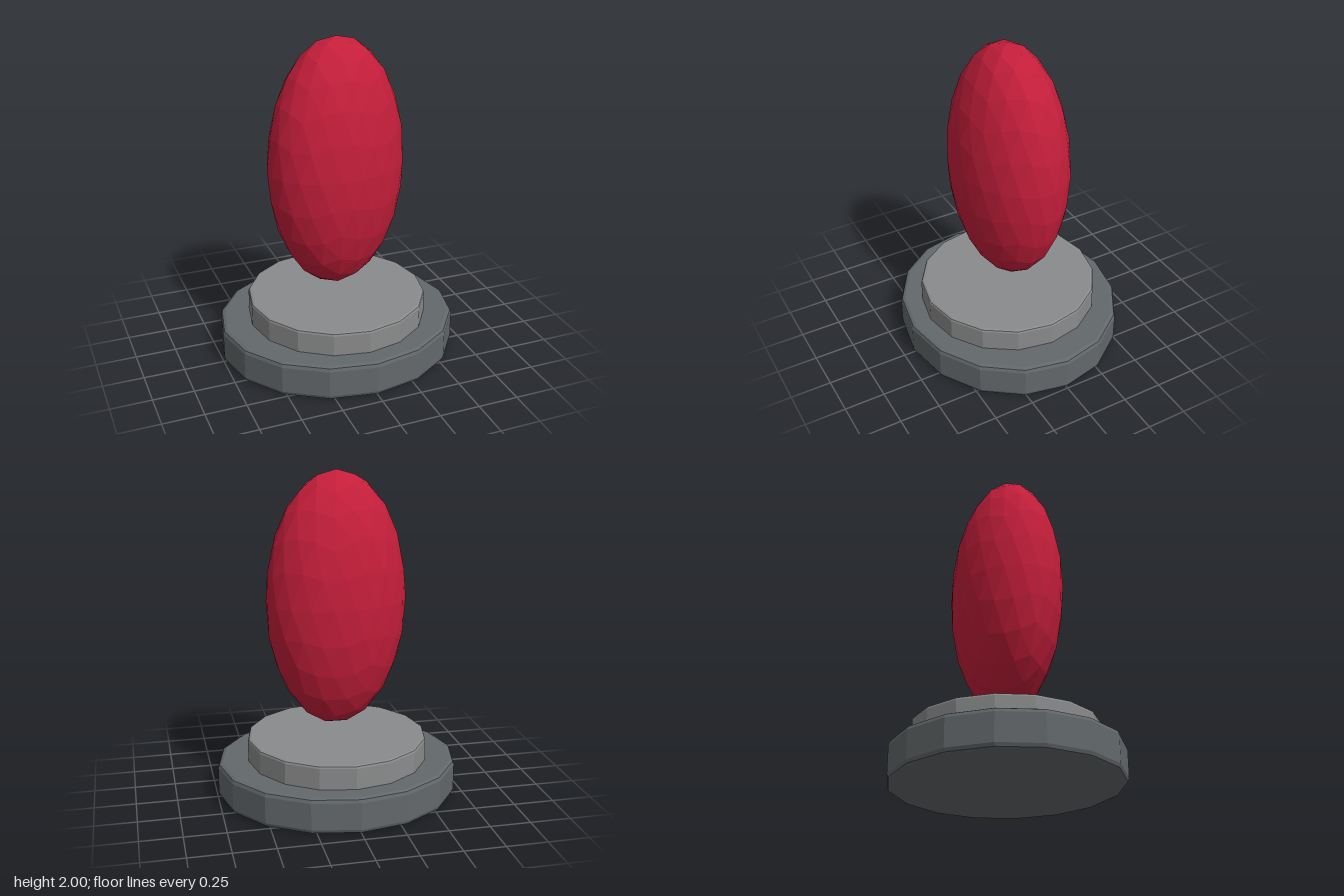
import * as THREE from 'three';

const flat = (color) => new THREE.MeshStandardMaterial({ color, flatShading: true });

// Sixteen-sided disc with softly bevelled rims, squashed to rx by rz
function disc(name, rx, rz, y0, y1, bevel, color) {
  const k = bevel * 0.29;
  const profile = [
    [0, y0], [rx - bevel, y0], [rx - k, y0 + k], [rx, y0 + bevel],
    [rx, y1 - bevel], [rx - k, y1 - k], [rx - bevel, y1], [0, y1],
  ].map(([r, y]) => new THREE.Vector2(r, y));
  const geometry = new THREE.LatheGeometry(profile, 16);
  geometry.scale(1, 1, rz / rx);
  const mesh = new THREE.Mesh(geometry, flat(color));
  mesh.name = name;
  return mesh;
}

// Faceted sphere with a corner at each pole, split by repeated halving of edges
function poleIcosphere(levels) {
  const ring = (y, start) => Array.from({ length: 5 }, (_, i) => {
    const a = start + (i * Math.PI * 2) / 5;
    const r = Math.sqrt(0.8);
    return new THREE.Vector3(Math.cos(a) * r, y, -Math.sin(a) * r);
  });
  const top = new THREE.Vector3(0, 1, 0);
  const bottom = new THREE.Vector3(0, -1, 0);
  const upper = ring(Math.sqrt(0.2), 0);
  const lower = ring(-Math.sqrt(0.2), Math.PI / 5);
  const positions = [];

  const split = (a, b, c, level) => {
    if (level === 0) {
      for (const v of [a, b, c]) positions.push(v.x, v.y, v.z);
      return;
    }
    const mid = (p, q) => p.clone().add(q).normalize();
    const ab = mid(a, b), bc = mid(b, c), ca = mid(c, a);
    split(a, ab, ca, level - 1);
    split(ab, b, bc, level - 1);
    split(ca, bc, c, level - 1);
    split(ab, bc, ca, level - 1);
  };

  for (let i = 0; i < 5; i++) {
    const j = (i + 1) % 5;
    split(top, upper[i], upper[j], levels);
    split(upper[i], lower[i], upper[j], levels);
    split(lower[i], lower[j], upper[j], levels);
    split(bottom, lower[j], lower[i], levels);
  }
  const geometry = new THREE.BufferGeometry();
  geometry.setAttribute('position', new THREE.Float32BufferAttribute(positions, 3));
  return geometry;
}

export function createModel() {
  const model = new THREE.Group();
  model.name = 'gemOnPedestal';

  // Two-step pedestal
  model.add(disc('pedestalBase', 0.745, 0.685, 0, 0.22, 0.028, 0x63686b));
  model.add(disc('pedestalStep', 0.557, 0.557, 0.17, 0.365, 0.016, 0x8a8b8c));

  // Floating egg-shaped gem, turned slightly about its upright axis
  const geometry = poleIcosphere(2);
  geometry.scale(0.437, 0.78, 0.32);
  geometry.computeVertexNormals();
  const gem = new THREE.Mesh(geometry, flat(0xc41e3a));
  gem.name = 'gem';
  gem.position.y = 1.22;
  gem.rotation.y = 0.17;
  model.add(gem);

  return model;
}
